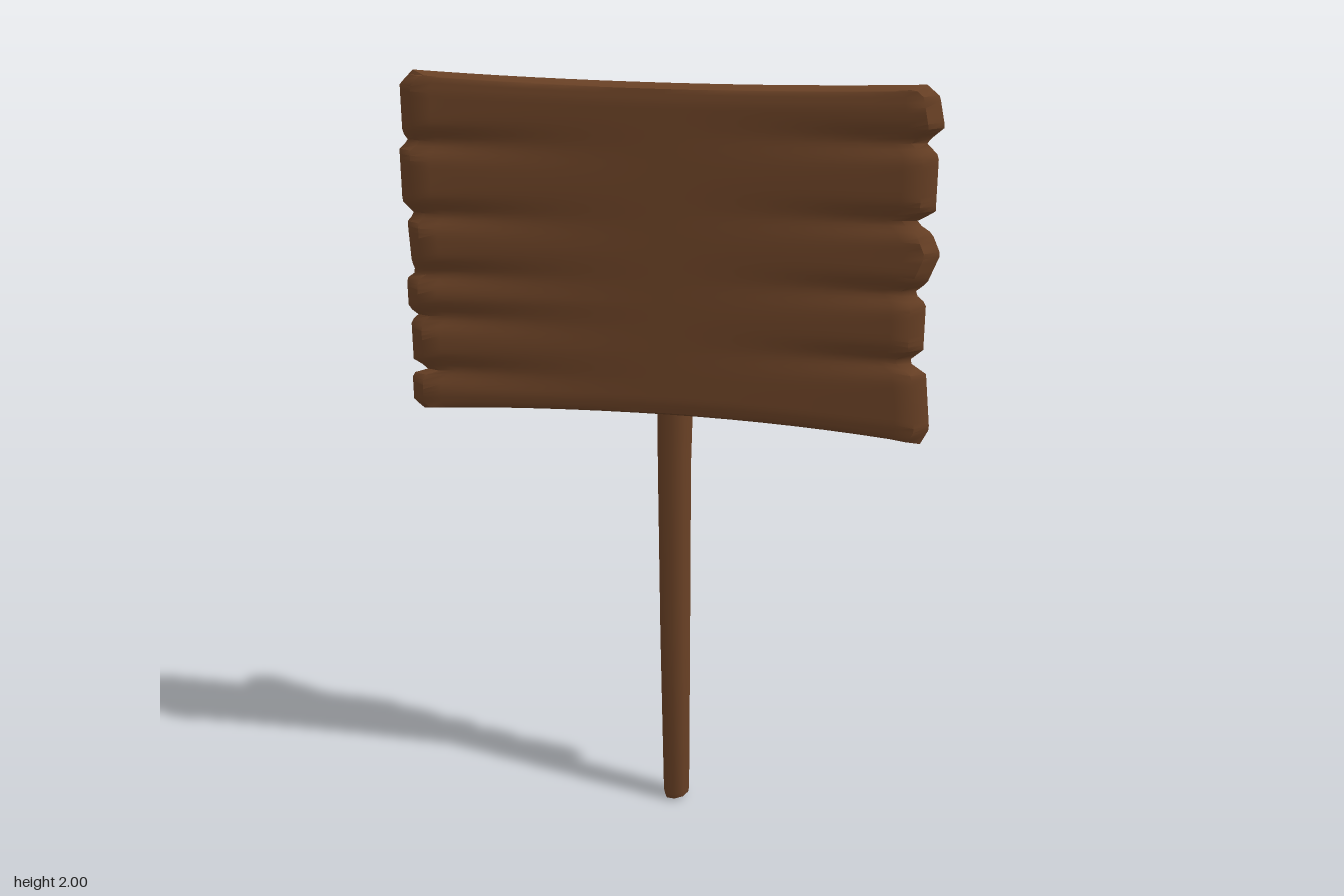
import * as THREE from 'three';
import { mergeVertices, toCreasedNormals } from 'three/addons/utils/BufferGeometryUtils.js';

const wood = new THREE.MeshStandardMaterial({ color: 0x6b4226 });
wood.name = 'dark brown wood';

// Outlines of the two split ends: [height, distance from the middle]
const leftEnd = [[1.14, 0.63], [1.165, 0.66], [1.235, 0.66], [1.252, 0.61], [1.27, 0.655], [1.375, 0.655],
  [1.392, 0.635], [1.41, 0.66], [1.485, 0.66], [1.503, 0.635], [1.53, 0.645], [1.63, 0.65], [1.652, 0.63],
  [1.68, 0.66], [1.81, 0.66], [1.83, 0.635], [1.85, 0.65], [1.965, 0.65], [2, 0.615]];
const rightEnd = [[1.135, 0.635], [1.175, 0.655], [1.315, 0.64], [1.345, 0.595], [1.375, 0.63], [1.49, 0.63],
  [1.515, 0.6], [1.54, 0.63], [1.61, 0.657], [1.66, 0.635], [1.685, 0.595], [1.71, 0.64], [1.84, 0.64],
  [1.87, 0.61], [1.905, 0.65], [1.975, 0.635], [2, 0.605]];
const leftGrooves = [1.252, 1.392, 1.503, 1.652, 1.83];
const rightGrooves = [1.345, 1.515, 1.685, 1.87];

// Straight-line lookup in a list of [key, value] points
function lookup(points, k) {
  if (k <= points[0][0]) return points[0][1];
  for (let i = 1; i < points.length; i++) {
    const [a, va] = points[i - 1], [b, vb] = points[i];
    if (k <= b) return va + (vb - va) * (k - a) / (b - a);
  }
  return points[points.length - 1][1];
}

// Board: a subdivided box with split ends, grooves that fade inwards and a slight bow
function boardGeometry() {
  let geo = new THREE.BoxGeometry(2, 2, 2, 16, 72, 2);
  geo.deleteAttribute('uv');
  geo.deleteAttribute('normal');
  geo = mergeVertices(geo);
  const p = geo.attributes.position;
  for (let i = 0; i < p.count; i++) {
    const u = p.getX(i), v = p.getY(i), w = p.getZ(i), a = Math.abs(u);
    const face = Math.abs(w);
    // sagging top edge and arched lower edge
    const top = 1.985 + 0.015 * u * u;
    const bottom = 1.163 - (u > 0 ? 0.028 : 0.021) * u * u;
    let y = bottom + (top - bottom) * (v + 1) / 2;
    const reach = lookup(u < 0 ? leftEnd : rightEnd, y);
    // chamfered rims
    const x = Math.sign(u) * (a * reach - (a > 0.999 ? 0.035 * face : 0));
    if (Math.abs(v) > 0.999) y -= Math.sign(v) * 0.01 * face;
    // grooves between the weathered strips
    let groove = 0;
    const width = 0.024 + 0.03 * (1 - a);
    for (const g of u < 0 ? leftGrooves : rightGrooves) {
      groove = Math.max(groove, Math.exp(-(((y - g) / width) ** 2)));
    }
    const rim = Math.max(0, Math.abs(v) - 0.9) / 0.1;
    const half = 0.028 * (1 - 0.6 * groove * a ** 1.6) * (1 - 0.25 * rim);
    p.setXYZ(i, x, y, 0.047 + 0.013 * u * u + w * half);
  }
  return toCreasedNormals(geo, 0.75);
}

// Post: an eight-sided turned pole, thicker at the top and slightly bent
function postGeometry() {
  const profile = [[0, 0], [0.033, 0], [0.036, 0.015], [0.041, 0.5], [0.044, 1], [0.048, 1.3],
    [0.05, 1.43], [0.046, 1.5], [0.052, 1.57], [0.057, 1.73], [0.05, 1.757], [0, 1.76]];
  const geo = new THREE.LatheGeometry(profile.map(([r, y]) => new THREE.Vector2(r, y)), 8);
  const p = geo.attributes.position;
  const bend = [[0, 0.0125], [0.5, 0.008], [1, 0.005], [1.76, 0.015]];
  for (let i = 0; i < p.count; i++) {
    const x = p.getX(i), y = p.getY(i);
    const slant = y < 0.1 ? 0.007 + x * 0.2 : 0;
    p.setXYZ(i, x + lookup(bend, y), y + slant, p.getZ(i) - 0.036);
  }
  return toCreasedNormals(geo, 0.9);
}

export function createModel() {
  const group = new THREE.Group();
  group.name = 'woodenSign';
  for (const [name, geo] of [['board', boardGeometry()], ['post', postGeometry()]]) {
    const mesh = new THREE.Mesh(geo, wood);
    mesh.name = name;
    group.add(mesh);
  }
  return group;
}
